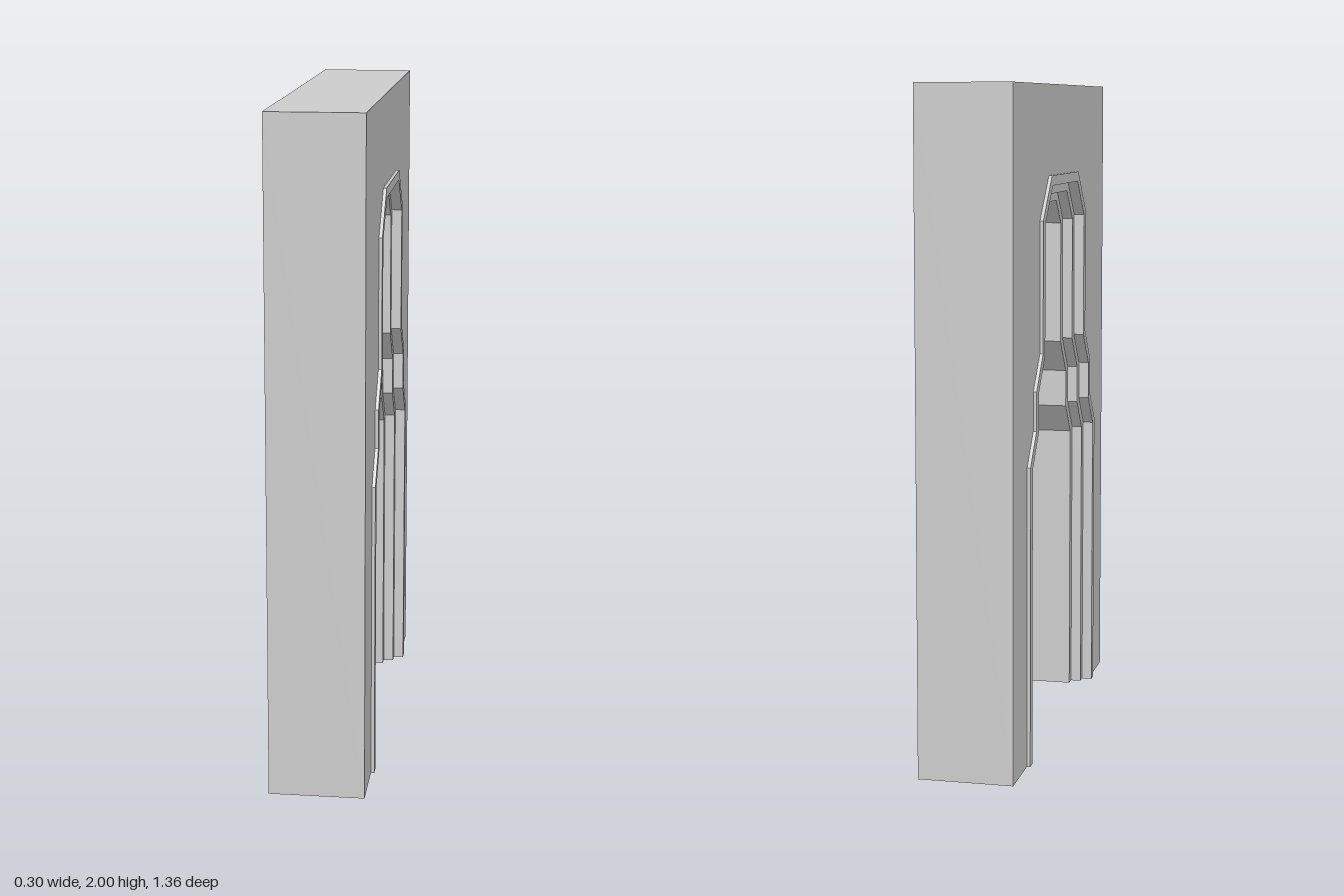
import * as THREE from 'three';

const HALF_LENGTH = 0.68, HEIGHT = 2, HALF_DEPTH = 0.142;

// Half outlines of the opening as [z, y]: outer edge of the trim, and the inner passage
const OUTER = [[0.499, 0], [0.499, 0.897], [0.416, 0.992], [0.416, 1.109], [0.327, 1.21], [0.327, 1.602], [0.203, 1.73]];
const INNER = [[0.404, 0], [0.404, 0.865], [0.328, 0.96], [0.328, 1.077], [0.239, 1.183], [0.239, 1.565], [0.165, 1.64]];

// Stepped half section of the trim as [x, amount from outer (0) to inner (1)]
const STEPS = [[HALF_DEPTH, 0], [0.152, 0], [0.152, 1 / 3], [0.12, 1 / 3], [0.12, 2 / 3], [0.088, 2 / 3], [0.088, 1]];

// Complete a half outline with its mirror image
const mirror = (half) => [...half, ...half.slice().reverse().map(([a, b]) => [-a, b])];

// Flat-faced sheet through rows of [x, y, z] points
function sheet(rows) {
  const pos = [];
  for (let i = 0; i < rows.length - 1; i++) {
    for (let j = 0; j < rows[i].length - 1; j++) {
      const a = rows[i][j], b = rows[i + 1][j], c = rows[i + 1][j + 1], d = rows[i][j + 1];
      pos.push(...a, ...b, ...c, ...a, ...c, ...d);
    }
  }
  const geometry = new THREE.BufferGeometry();
  geometry.setAttribute('position', new THREE.Float32BufferAttribute(pos, 3));
  geometry.computeVertexNormals();
  return geometry;
}

export function createModel() {
  const group = new THREE.Group();
  group.name = 'archway';
  const material = new THREE.MeshStandardMaterial({ color: 0xcccccc, flatShading: true, side: THREE.DoubleSide });
  const add = (name, geometry) => {
    const mesh = new THREE.Mesh(geometry, material);
    mesh.name = name;
    group.add(mesh);
    return mesh;
  };

  // Two broad wall faces, cut around the opening
  const border = [[HALF_LENGTH, 0], [HALF_LENGTH, HEIGHT]];
  const outline = [...mirror(border), ...mirror(OUTER).reverse()];
  const face = new THREE.ShapeGeometry(new THREE.Shape(outline.map(([z, y]) => new THREE.Vector2(z, y))));
  for (const side of [1, -1]) {
    const mesh = add(side > 0 ? 'leftWallFace' : 'rightWallFace', face);
    mesh.rotation.y = side * Math.PI / 2;
    mesh.position.x = side * HALF_DEPTH;
  }

  // Ends and top of the wall; the feet are open underneath
  add('wallEndsAndTop', sheet(mirror(border).map(([z, y]) => [[HALF_DEPTH, y, z], [-HALF_DEPTH, y, z]])));

  // Stepped trim and passage lining, swept along the opening
  const outer = mirror(OUTER), inner = mirror(INNER);
  const section = mirror(STEPS).reverse();
  add('steppedTrim', sheet(outer.map(([z, y], i) => section.map(([x, t]) => [
    x,
    THREE.MathUtils.lerp(y, inner[i][1], t),
    THREE.MathUtils.lerp(z, inner[i][0], t),
  ]))));

  return group;
}
